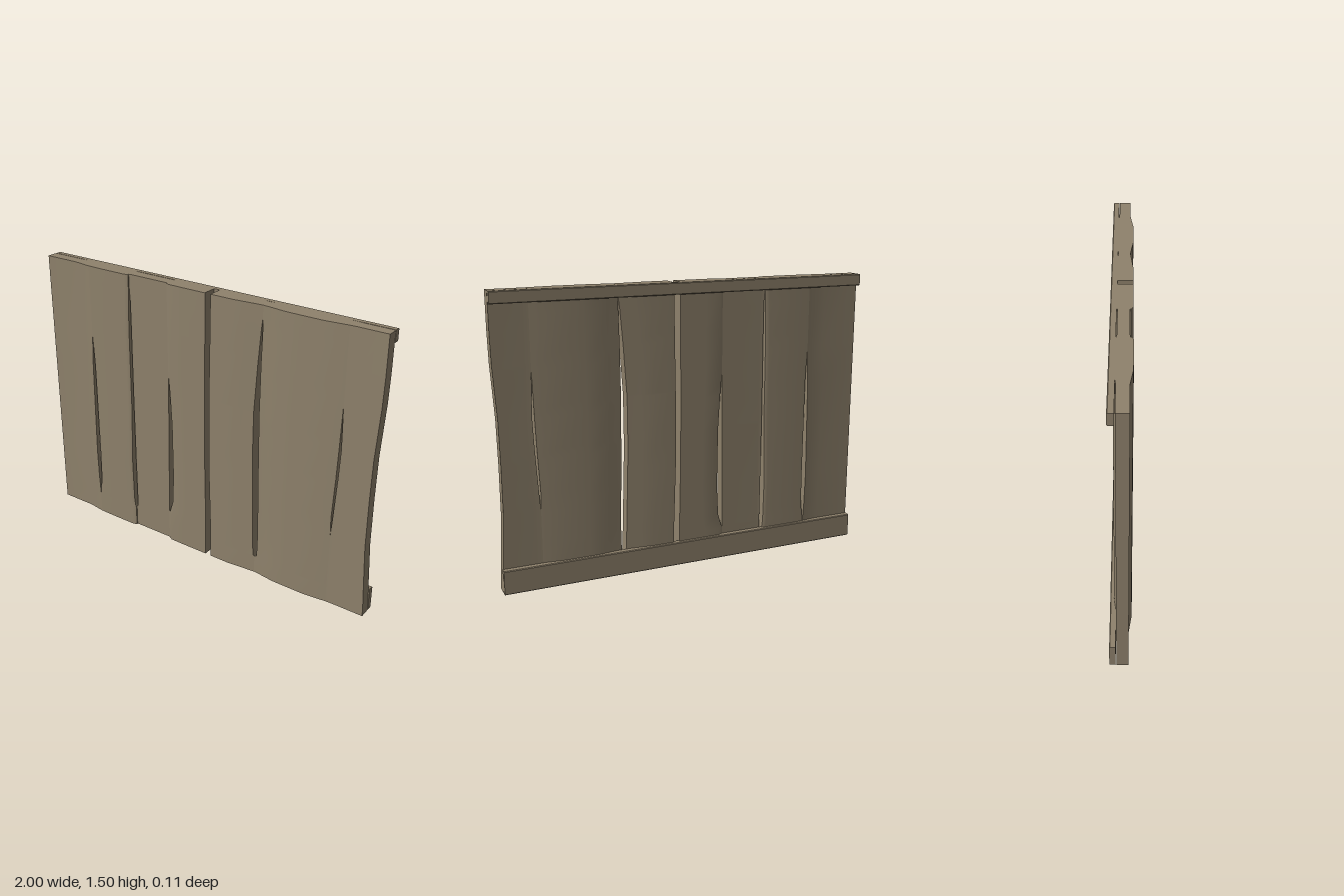
import * as THREE from 'three';

const H = 1.5;      // panel height
const MID = 0.009;  // middle plane of the planks

// Edges between planks: [y, right edge of left plank, left edge of right plank]
const SEAMS = [
  [[0, -1, -1]],
  [[0.125, -0.705, -0.705], [0.23, -0.711, -0.692], [0.4, -0.715, -0.69], [0.94, -0.708, -0.692], [1.12, -0.70, -0.70]],
  [[0.12, -0.442, -0.442], [0.13, -0.447, -0.435], [0.17, -0.452, -0.434], [0.4, -0.456, -0.435], [0.75, -0.446, -0.436],
    [1.2, -0.445, -0.434], [1.36, -0.441, -0.434], [1.43, -0.438, -0.438]],
  [[0.165, -0.205, -0.205], [0.18, -0.206, -0.198], [0.24, -0.205, -0.18], [0.4, -0.204, -0.172], [0.72, -0.2, -0.175],
    [0.9, -0.198, -0.185], [1.03, -0.195, -0.195]],
  [[0, 0.052, 0.086], [0.24, 0.052, 0.083], [0.55, 0.046, 0.073], [0.95, 0.043, 0.072], [1.25, 0.046, 0.076], [1.5, 0.046, 0.079]],
  [[0.1, 0.36, 0.36], [0.105, 0.35, 0.373], [0.24, 0.344, 0.375], [0.67, 0.33, 0.366], [0.94, 0.33, 0.362],
    [1.2, 0.346, 0.364], [1.38, 0.36, 0.368], [1.44, 0.367, 0.367]],
  [[0.4, 0.793, 0.793], [0.5, 0.79, 0.799], [0.72, 0.8, 0.811], [0.88, 0.805, 0.817], [1.12, 0.811, 0.811]],
  [[0, 1, 1], [0.05, 0.999, 0.999], [0.21, 0.99, 0.99], [0.4, 0.98, 0.98], [0.65, 0.979, 0.979], [0.88, 0.982, 0.982],
    [1.15, 0.997, 0.997], [1.3, 1, 1]],
];

// Front depth across each plank: [x, z]; the back mirrors it about MID
const PROFILES = [
  [[-1, 0.038], [-0.8, 0.038], [-0.7, 0.052]],
  [[-0.7, 0.052], [-0.62, 0.054], [-0.46, 0.054], [-0.44, 0.047]],
  [[-0.44, 0.04], [-0.42, 0.038], [-0.2, 0.038]],
  [[-0.2, 0.042], [-0.18, 0.053], [-0.1, 0.054], [0.045, 0.054]],
  [[0.075, 0.054], [0.2, 0.054], [0.28, 0.046], [0.36, 0.039]],
  [[0.36, 0.039], [0.42, 0.045], [0.48, 0.053], [0.54, 0.054], [0.68, 0.054], [0.8, 0.04]],
  [[0.8, 0.04], [0.84, 0.038], [1, 0.038]],
];

// Linear interpolation of a seam edge at height y (side 1 or 2)
function edgeAt(seam, side, y) {
  if (y <= seam[0][0]) return seam[0][side];
  for (let i = 1; i < seam.length; i++) {
    const a = seam[i - 1], b = seam[i];
    if (y <= b[0]) return a[side] + (b[side] - a[side]) * (y - a[0]) / (b[0] - a[0]);
  }
  return seam[seam.length - 1][side];
}

// A box whose columns follow the depth profile and whose sides follow the seams
function plankGeometry(left, right, profile) {
  const rows = [...new Set([0, H, ...left.map(p => p[0]), ...right.map(p => p[0])])].sort((a, b) => a - b);
  const nx = profile.length - 1, ny = rows.length - 1;
  const x0 = profile[0][0], span = profile[nx][0] - x0;
  const geo = new THREE.BoxGeometry(1, 1, 1, nx, ny, 1);
  const pos = geo.attributes.position;
  for (let i = 0; i < pos.count; i++) {
    const [px, pz] = profile[Math.round((pos.getX(i) + 0.5) * nx)];
    const y = rows[Math.round((pos.getY(i) + 0.5) * ny)];
    const l = edgeAt(left, 2, y), r = edgeAt(right, 1, y);
    const z = pos.getZ(i) > 0 ? pz : 2 * MID - pz;
    pos.setXYZ(i, l + (r - l) * (px - x0) / span, y, z);
  }
  geo.computeVertexNormals();
  return geo;
}

// A back rail with lightly chamfered outer edges, extruded along x
function railGeometry(y0, y1) {
  const front = 0.024, back = 0.054, c = 0.004;
  const shape = new THREE.Shape([
    [front, y0], [back - c, y0], [back, y0 + c], [back, y1 - c], [back - c, y1], [front, y1],
  ].map(p => new THREE.Vector2(...p)));
  const geo = new THREE.ExtrudeGeometry(shape, { depth: 2, bevelEnabled: false });
  geo.translate(0, 0, -1);
  geo.rotateY(Math.PI / 2);          // length onto x
  geo.rotateY(Math.PI);              // profile towards the back
  geo.computeBoundingBox();
  if (geo.boundingBox.max.z > 0) geo.rotateY(Math.PI);
  return geo;
}

export function createModel() {
  const model = new THREE.Group();
  model.name = 'plankPanel';
  const wood = new THREE.MeshStandardMaterial({ color: 0x8f826c });
  wood.name = 'weatheredWood';

  const add = (geo, name) => {
    const mesh = new THREE.Mesh(geo, wood);
    mesh.name = name;
    model.add(mesh);
  };

  // Seven uneven planks side by side
  PROFILES.forEach((profile, i) => add(plankGeometry(SEAMS[i], SEAMS[i + 1], profile), `plank${i + 1}`));

  // Rails across the back
  add(railGeometry(1.44, H), 'topRail');
  add(railGeometry(0, 0.127), 'bottomRail');

  return model;
}
